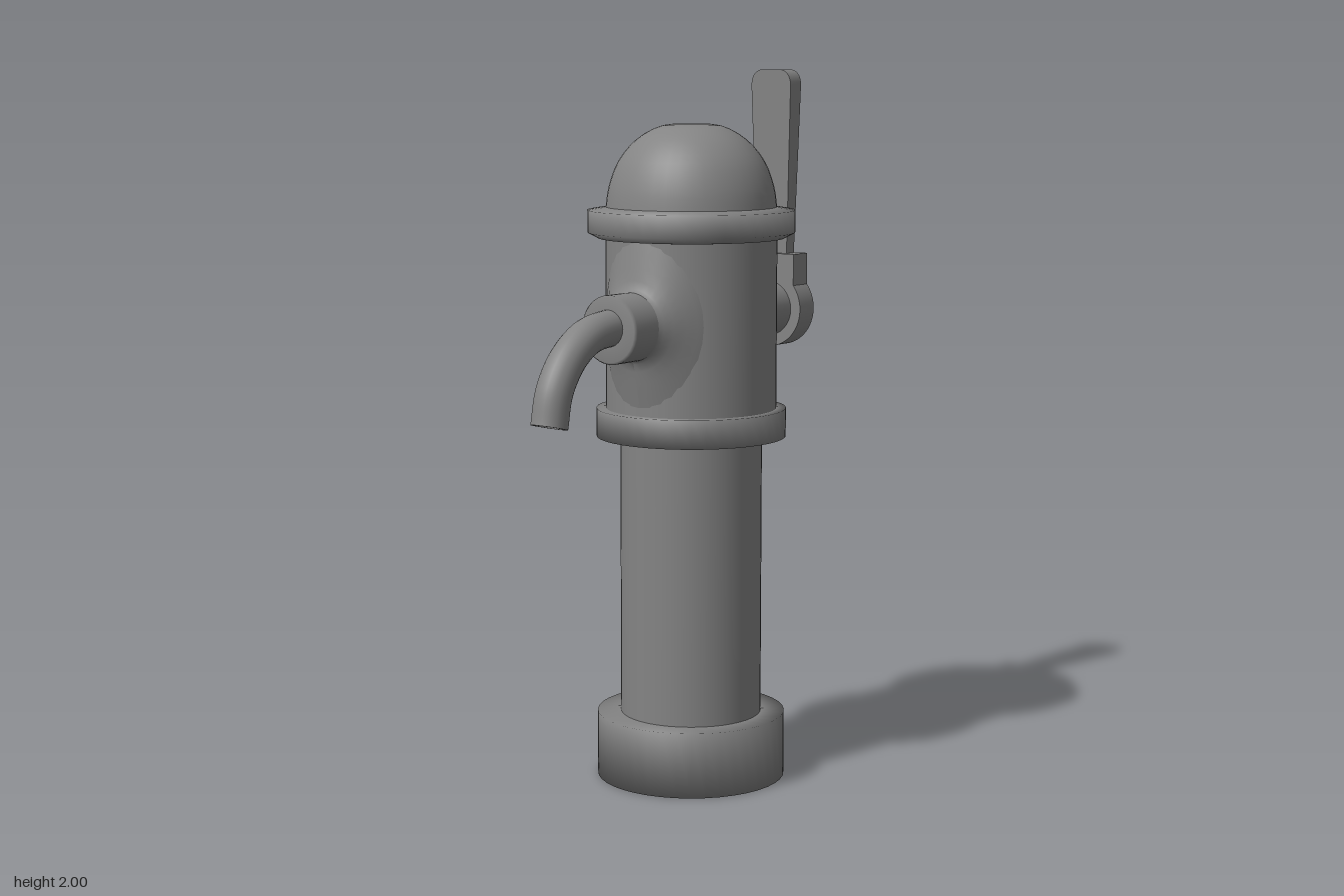
import * as THREE from 'three';
import { toCreasedNormals } from 'three/addons/utils/BufferGeometryUtils.js';

const AXIS_Z = -0.085; // vertical axis of the body
const ARM_Y = 1.31; // height of nozzle and lever shaft
const DRUM_R = 0.24;

export function createModel() {
  const group = new THREE.Group();
  const material = new THREE.MeshStandardMaterial({ color: 0x848484, side: THREE.DoubleSide });

  const add = (name, geometry, x = 0, y = 0, z = 0) => {
    const mesh = new THREE.Mesh(geometry, material);
    mesh.name = name;
    mesh.position.set(x, y, z);
    group.add(mesh);
    return mesh;
  };
  const lathe = (pts, seg = 40) =>
    new THREE.LatheGeometry(pts.map(([r, y]) => new THREE.Vector2(r, y)), seg);
  const latheZ = (pts) => lathe(pts, 32).rotateX(Math.PI / 2);

  // Upright body, bottom to top, with softly shaded rims
  add('base', lathe([[0, 0], [0.267, 0], [0.267, 0.185], [0.195, 0.185]]), 0, 0, AXIS_Z);
  add('post', new THREE.CylinderGeometry(0.2, 0.2, 0.84, 40, 1, true), 0, 0.59, AXIS_Z);
  add('lowerRing', lathe([[0.195, 0.98], [0.267, 0.98], [0.267, 1.06], [0.235, 1.06]]), 0, 0, AXIS_Z);
  add('drum', new THREE.CylinderGeometry(DRUM_R, DRUM_R, 0.5, 40, 1, true), 0, 1.3, AXIS_Z);
  add('capFlange', lathe([[0.235, 1.535], [0.26, 1.537], [0.29, 1.553], [0.29, 1.615], [0.234, 1.624]]), 0, 0, AXIS_Z);
  const domeCurve = new THREE.SplineCurve(
    [[0.239, 1.62], [0.23, 1.68], [0.203, 1.75], [0.152, 1.81], [0.08, 1.848], [0, 1.852]].map(([r, y]) => new THREE.Vector2(r, y)));
  add('dome', new THREE.LatheGeometry(domeCurve.getPoints(15), 40), 0, 0, AXIS_Z);

  // Low swelling that hugs the drum and blends into an arm along z
  const collar = (armR) => {
    const g = latheZ([[0.235, 0.238], [0.2, 0.246], [0.16, 0.255], [0.125, 0.262], [armR + 0.008, 0.268], [armR, 0.278]]);
    const p = g.attributes.position;
    for (let i = 0; i < p.count; i++) {
      const t = Math.max(0, (Math.hypot(p.getX(i), p.getY(i)) - armR) / (0.235 - armR));
      const x = p.getX(i) * (1 - 0.28 * t);
      const drop = DRUM_R - Math.sqrt(DRUM_R * DRUM_R - x * x);
      p.setXYZ(i, x, p.getY(i), p.getZ(i) - drop * Math.min(1, t * 3));
    }
    g.computeVertexNormals();
    return g;
  };

  // Front nozzle and curved spout
  add('nozzleCollar', collar(0.094), 0, ARM_Y, AXIS_Z);
  add('nozzle', latheZ([[0.094, 0.1], [0.094, 0.2], [0.094, 0.287], [0.088, 0.295], [0.045, 0.295]]), 0, ARM_Y);
  const path = new THREE.CatmullRomCurve3(
    [[1.315, 0.25], [1.315, 0.3], [1.3, 0.385], [1.25, 0.465], [1.17, 0.523], [1.077, 0.546]].map(([y, z]) => new THREE.Vector3(0, y, z)));
  add('spout', new THREE.TubeGeometry(path, 32, 0.05, 24, false));
  const mouth = add('spoutMouth', toCreasedNormals(lathe([[0, -0.03], [0.04, -0.03], [0.04, 0], [0.05, 0]], 24), 0.7));
  mouth.position.copy(path.getPoint(1));
  mouth.quaternion.setFromUnitVectors(new THREE.Vector3(0, 1, 0), path.getTangent(1));

  // Rear shaft with rounded end
  add('shaftCollar', collar(0.08), 0, ARM_Y, AXIS_Z).rotation.y = Math.PI;
  add('leverShaft', latheZ([[0.08, 0.2], [0.08, 0.4], [0.08, 0.54], [0.079, 0.556], [0.07, 0.575], [0.055, 0.589], [0.035, 0.595], [0, 0.595]]), 0, ARM_Y)
    .rotation.y = Math.PI;

  // Lever hub: disc with a square neck on top
  const neck = 0.088;
  const hubR = 0.112;
  const a = Math.acos(neck / hubR);
  const hub = new THREE.Shape();
  hub.moveTo(neck, 0.16);
  hub.lineTo(-neck, 0.16);
  hub.absarc(0, 0, hubR, Math.PI - a, 2 * Math.PI + a, false);
  hub.closePath();
  add('leverHub', toCreasedNormals(
    new THREE.ExtrudeGeometry(hub, { depth: 0.073, bevelEnabled: false, curveSegments: 28 }), 0.6), 0, ARM_Y, -0.541);

  // Lever handle, widening and thickening upwards, with a rounded tip
  const lever = new THREE.Shape();
  lever.moveTo(-0.052, 1.45);
  lever.lineTo(0.052, 1.45);
  lever.lineTo(0.068, 1.955);
  lever.bezierCurveTo(0.068, 1.985, 0.05, 2, 0.03, 2);
  lever.lineTo(-0.03, 2);
  lever.bezierCurveTo(-0.05, 2, -0.068, 1.985, -0.068, 1.955);
  lever.closePath();
  const handle = new THREE.ExtrudeGeometry(lever, { depth: 1, bevelEnabled: false, curveSegments: 8 });
  const hp = handle.attributes.position;
  for (let i = 0; i < hp.count; i++) {
    const thickness = 0.038 + 0.018 * (hp.getY(i) - 1.45) / 0.55;
    hp.setZ(i, (hp.getZ(i) - 0.5) * thickness);
  }
  add('leverHandle', toCreasedNormals(handle, 0.6), 0, 0, -0.504);

  return group;
}
